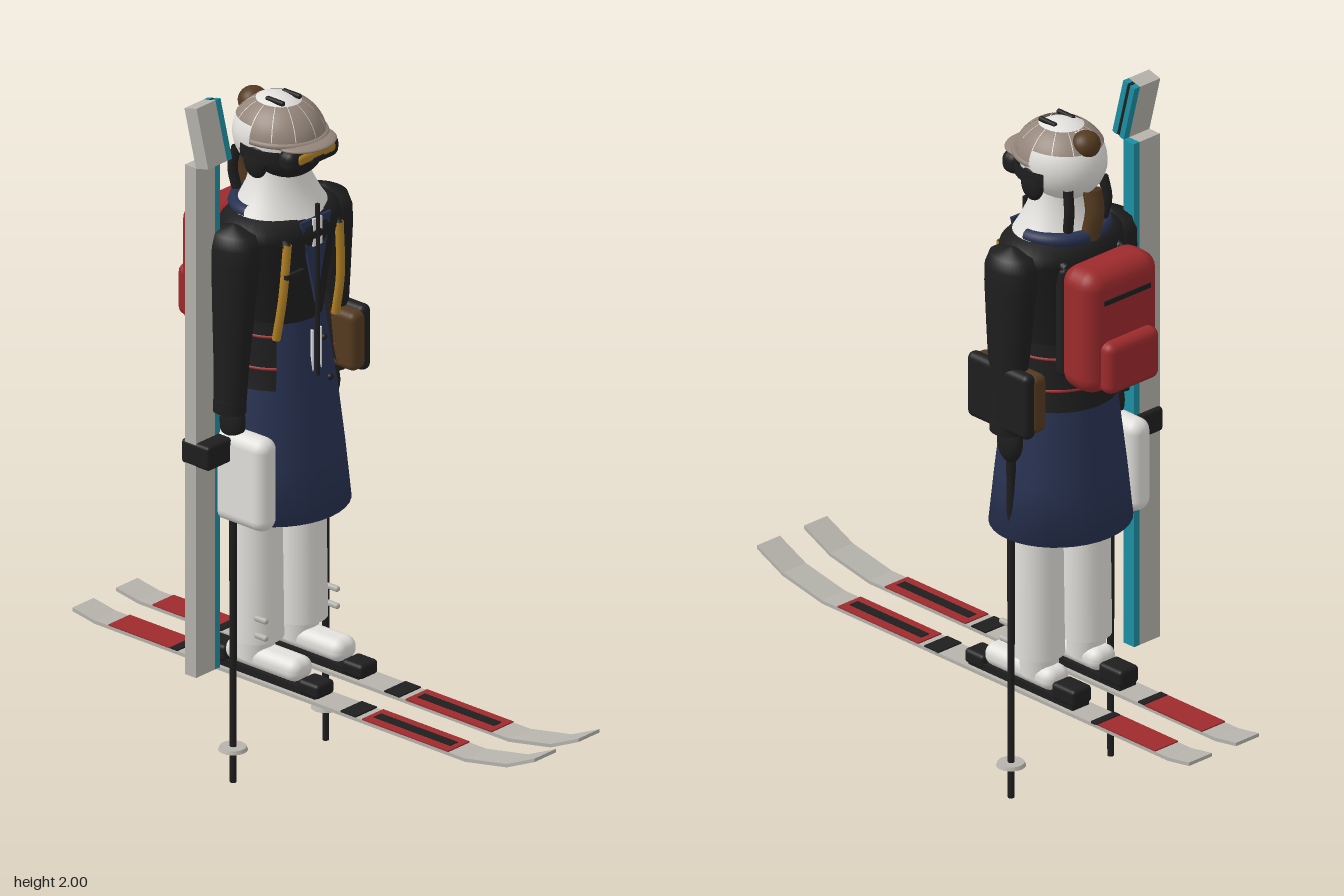
import * as THREE from 'three';
import { RoundedBoxGeometry } from 'three/addons/geometries/RoundedBoxGeometry.js';

const mat = (name, color) => {
  const m = new THREE.MeshStandardMaterial({ color, side: THREE.DoubleSide });
  m.name = name;
  return m;
};

export function createModel() {
  const black = mat('black', 0x1e1e1e), white = mat('white', 0xe2e0dc), navy = mat('navy', 0x283252),
    red = mat('red', 0x9c2a2c), taupe = mat('taupe', 0x94857a), brown = mat('brown', 0x543a20),
    amber = mat('amber', 0xb08024), grey = mat('lightGrey', 0xb5b3ab), teal = mat('teal', 0x1b8fa2);
  const root = new THREE.Group();
  const CX = 0.027, CZ = -0.205; // axis of the figure
  const add = (name, geo, m, x = 0, y = 0, z = 0, parent = root) => {
    const mesh = new THREE.Mesh(geo, m);
    mesh.name = name;
    mesh.position.set(x, y, z);
    parent.add(mesh);
    return mesh;
  };
  const box = (w, h, d) => new THREE.BoxGeometry(w, h, d);
  const rbox = (w, h, d, r) => new RoundedBoxGeometry(w, h, d, 3, r);
  const ball = (rx, ry, rz, ...arc) => new THREE.SphereGeometry(1, 28, 18, ...arc).scale(rx, ry, rz);
  const cyl = (rt, rb, h, n = 16) => new THREE.CylinderGeometry(rt, rb, h, n);
  const lathe = (pts, sz = 1, ...arc) =>
    new THREE.LatheGeometry(pts.map(p => new THREE.Vector2(...p)), 36, ...arc).scale(1, 1, sz);
  const tube = (pts, r) => new THREE.TubeGeometry(
    new THREE.CatmullRomCurve3(pts.map(p => new THREE.Vector3(...p))), 16, r, 8);
  // Side profile [z, y] given a thickness and a width along x
  const ribbon = (pts, t, w) => {
    const outline = [...pts, ...pts.slice().reverse().map(([z, y]) => [z, y + t])];
    const shape = new THREE.Shape(outline.map(p => new THREE.Vector2(...p)));
    return new THREE.ExtrudeGeometry(shape, { depth: w, bevelEnabled: false })
      .rotateY(-Math.PI / 2).translate(w / 2, 0, 0);
  };

  // Worn skis with panels, bindings, boots and trouser legs
  const path = [[-0.83, 0.292], [-0.75, 0.279], [0.58, 0.279], [0.73, 0.308], [0.83, 0.354]];
  for (const s of [-1, 1]) {
    const g = new THREE.Group();
    g.name = s < 0 ? 'rightLegAndSki' : 'leftLegAndSki';
    g.position.x = 0.025 + s * 0.087;
    root.add(g);
    const put = (n, geo, m, x, y, z) => add(n, geo, m, x, y, z, g);
    put('ski', ribbon(path, 0.01, 0.085), grey);
    put('frontPanel', box(0.085, 0.005, 0.31), red, 0, 0.29, 0.365);
    put('frontStripe', box(0.03, 0.005, 0.275), black, 0, 0.292, 0.365);
    put('rearPanel', box(0.085, 0.005, 0.22), red, 0, 0.29, -0.59);
    put('frontBand', box(0.085, 0.006, 0.055), black, 0, 0.29, 0.16);
    put('rearBand', box(0.085, 0.006, 0.025), black, 0, 0.29, -0.465);
    put('bindingPlate', box(0.06, 0.02, 0.4), black, 0, 0.299, -0.17);
    put('toeBinding', rbox(0.07, 0.042, 0.075, 0.012), black, 0, 0.312, 0.007);
    put('heelBinding', rbox(0.07, 0.05, 0.09, 0.012), black, 0, 0.324, -0.335);
    put('bootSole', rbox(0.085, 0.065, 0.265, 0.03), white, 0, 0.345, -0.162);
    put('bootAnkle', cyl(0.058, 0.05, 0.09, 24), white, 0, 0.385, -0.21);
    put('trouserLeg', cyl(0.068, 0.073, 0.4, 28), white, 0, 0.6, CZ);
    for (const y of [0.43, 0.48])
      put('buckle', rbox(0.016, 0.016, 0.045, 0.007), grey, s * 0.055, y, -0.14);
  }

  // Coat skirt and black jacket, open at the front below the waist
  add('skirt', lathe([[0.12, 0.775], [0.2, 0.77], [0.183, 0.93], [0.162, 1.1], [0.142, 1.22], [0.125, 1.33]], 0.93),
    navy, CX, 0, CZ);
  add('jacket', lathe([[0.13, 1.28], [0.142, 1.36], [0.165, 1.5], [0.19, 1.58], [0.185, 1.61], [0.155, 1.635], [0.08, 1.65]], 0.74),
    black, CX, 0, CZ);
  const opening = [0.85, Math.PI * 2 - 1.7];
  add('jacketTails', lathe([[0.161, 1.15], [0.152, 1.2], [0.143, 1.3], [0.14, 1.34]], 0.92, ...opening), black, CX, 0, CZ);
  for (const [y, r] of [[1.21, 0.152], [1.3, 0.144]])
    add('redPiping', lathe([[r, y - 0.004], [r + 0.004, y], [r, y + 0.004]], 0.92, ...opening), red, CX, 0, CZ);

  // Front trim: lapel, zip, cord and shoulder straps
  const vee = new THREE.Shape([[-0.06, 1.63], [0, 1.38], [0.06, 1.63]].map(p => new THREE.Vector2(...p)));
  add('lapel', new THREE.ExtrudeGeometry(vee, { depth: 0.008, bevelEnabled: false }), navy, CX, 0, -0.08);
  add('shirtFront', box(0.035, 0.08, 0.008), white, CX, 1.59, -0.071);
  add('cord', cyl(0.007, 0.007, 0.5, 8), black, CX, 1.42, -0.068);
  for (const x of [-0.016, 0.016]) add('zip', box(0.006, 0.13, 0.008), white, CX + x, 1.24, -0.073);
  for (const [y, z] of [[1.27, -0.072], [1.16, -0.05]])
    add('button', ball(0.009, 0.009, 0.009), black, CX + 0.03, y, z);
  for (const s of [-1, 1]) {
    add('chestStrap', tube([[CX + s * 0.118, 1.3, -0.11], [CX + s * 0.115, 1.42, -0.09], [CX + s * 0.103, 1.58, -0.083]], 0.012),
      amber);
    add('shoulderStrap', tube([[CX + s * 0.103, 1.57, -0.083], [CX + s * 0.1, 1.635, -0.17], [CX + s * 0.1, 1.58, -0.33]], 0.012), black);
  }
  add('chestClip', box(0.07, 0.012, 0.012), black, CX - 0.085, 1.49, -0.075);

  // Arms, gloves and poles
  for (const s of [-1, 1]) {
    const g = new THREE.Group();
    g.name = s < 0 ? 'rightArm' : 'leftArm';
    root.add(g);
    const sleeve = lathe([[0.038, 0], [0.042, 0.12], [0.052, 0.28], [0.06, 0.42], [0.06, 0.47], [0.05, 0.505], [0, 0.525]], 1.35);
    const pos = sleeve.attributes.position;
    for (let i = 0; i < pos.count; i++) pos.setX(i, pos.getX(i) - s * 0.018 * (pos.getY(i) / 0.5));
    sleeve.computeVertexNormals();
    add('sleeve', sleeve, black, CX + s * 0.2, 1.105, CZ, g);
    add('cuff', cyl(0.042, 0.042, 0.035, 20).scale(1, 1, 1.2), black, CX + s * 0.2, 1.11, CZ, g);
    add('glove', ball(0.026, 0.065, 0.043), black, CX + s * 0.188, 1.06, CZ, g);
    add('poleShaft', cyl(0.011, 0.009, 0.9, 10), black, CX + s * 0.184, 0.45, CZ, g);
    add('poleGrip', cyl(0.014, 0.012, 0.2, 12), black, CX + s * 0.184, 0.94, CZ, g);
    add('poleBasket', cyl(0.036, 0.04, 0.01, 20), grey, CX + s * 0.184, 0.1, CZ, g);
  }

  // Hip bags
  add('whiteBag', rbox(0.075, 0.27, 0.27, 0.035), white, -0.153, 0.9, -0.205);
  add('brownPouch', rbox(0.055, 0.17, 0.24, 0.02), brown, 0.211, 1.2, -0.2);
  add('blackBag', rbox(0.04, 0.19, 0.235, 0.018), black, 0.242, 1.2, -0.2);

  // Backpack
  add('packBody', rbox(0.265, 0.36, 0.135, 0.05), red, 0.025, 1.42, -0.39);
  add('packPocket', rbox(0.19, 0.15, 0.06, 0.025), red, 0.025, 1.325, -0.463);
  add('packZip', box(0.17, 0.014, 0.008), black, 0.025, 1.515, -0.457);
  add('packBack', rbox(0.23, 0.32, 0.04, 0.015), black, 0.025, 1.42, -0.315);

  // White neck warmer with a navy collar behind
  add('neckWarmer', lathe([[0.15, 1.625], [0.125, 1.66], [0.1, 1.705], [0.085, 1.75], [0.075, 1.8]], 0.82), white, CX, 0, CZ);
  add('collar', new THREE.TorusGeometry(0.122, 0.02, 10, 24, Math.PI).rotateX(-Math.PI / 2).scale(1, 1, 0.95),
    navy, CX, 1.645, CZ);

  // Head, mask and goggles
  add('helmet', ball(0.112, 0.112, 0.125), white, CX, 1.838, -0.215);
  add('faceMask', ball(0.098, 0.075, 0.1), black, CX, 1.8, -0.18);
  add('goggleStrap', lathe([[0.117, -0.02], [0.119, 0], [0.117, 0.02]], 1.05, -2, 4), black, CX, 1.812, -0.198);
  add('goggleFrame', rbox(0.2, 0.064, 0.06, 0.025), black, CX, 1.81, -0.1);
  add('goggleLens', rbox(0.15, 0.03, 0.03, 0.012), amber, CX, 1.815, -0.08);
  add('noseBridge', rbox(0.05, 0.018, 0.02, 0.006), black, CX, 1.802, -0.071);
  for (const s of [-1, 1]) {
    add('earPad', ball(0.02, 0.05, 0.04), black, CX + s * 0.1, 1.79, -0.2);
    add('sideLock', tube([[CX + s * 0.065, 1.79, -0.3], [CX + s * 0.07, 1.73, -0.31], [CX + s * 0.065, 1.67, -0.3]], 0.014), black);
  }
  add('ponytail', tube([[CX, 1.78, -0.325], [CX, 1.72, -0.335], [CX, 1.64, -0.318]], 0.026), brown);

  // Panelled cap, shorter behind, with a visor and top vents
  const panels = 12, step = Math.PI * 2 / panels;
  for (let i = 0; i < panels; i++) {
    const drop = i < 6 ? 1.0 : 0.6;
    add('capPanel', ball(0.121, 0.111, 0.135, i * step + 0.012, step - 0.024, 0.5, drop), taupe, CX, 1.84, -0.207);
  }
  add('capBand', new THREE.TorusGeometry(0.115, 0.009, 8, 32, Math.PI).rotateX(Math.PI / 2).scale(1, 1, 1.12),
    taupe, CX, 1.85, -0.203);
  add('visor', ball(0.095, 0.014, 0.08), taupe, CX, 1.843, -0.115);
  for (const x of [-0.033, 0.033]) add('vent', rbox(0.014, 0.014, 0.065, 0.006), black, CX + x, 1.944, -0.19);
  add('hairBun', ball(0.042, 0.038, 0.04), brown, CX, 1.905, -0.3);

  // Skis carried upright beside the body
  const spare = new THREE.Group();
  spare.name = 'carriedSkis';
  spare.position.set(-0.228, 0, -0.235);
  root.add(spare);
  add('carriedBody', box(0.075, 1.49, 0.04), grey, -0.01, 1.08, -0.016, spare);
  add('carriedEdge', box(0.02, 1.49, 0.04), teal, 0.0375, 1.08, -0.016, spare);
  const tip = new THREE.Group();
  tip.name = 'carriedTip';
  tip.position.set(0, 1.912, 0.005);
  tip.rotation.x = -0.25;
  spare.add(tip);
  add('tipBody', box(0.075, 0.17, 0.045), grey, -0.01, 0, 0, tip);
  for (const z of [-0.014, 0.014]) add('tipEdge', box(0.02, 0.17, 0.017), teal, 0.0375, 0, z, tip);
  add('tipGap', box(0.018, 0.168, 0.011), black, 0.0365, 0, 0, tip);
  add('carriedStrap', rbox(0.1, 0.07, 0.1, 0.01), black, 0.001, 0.985, 0, spare);

  return root;
}
